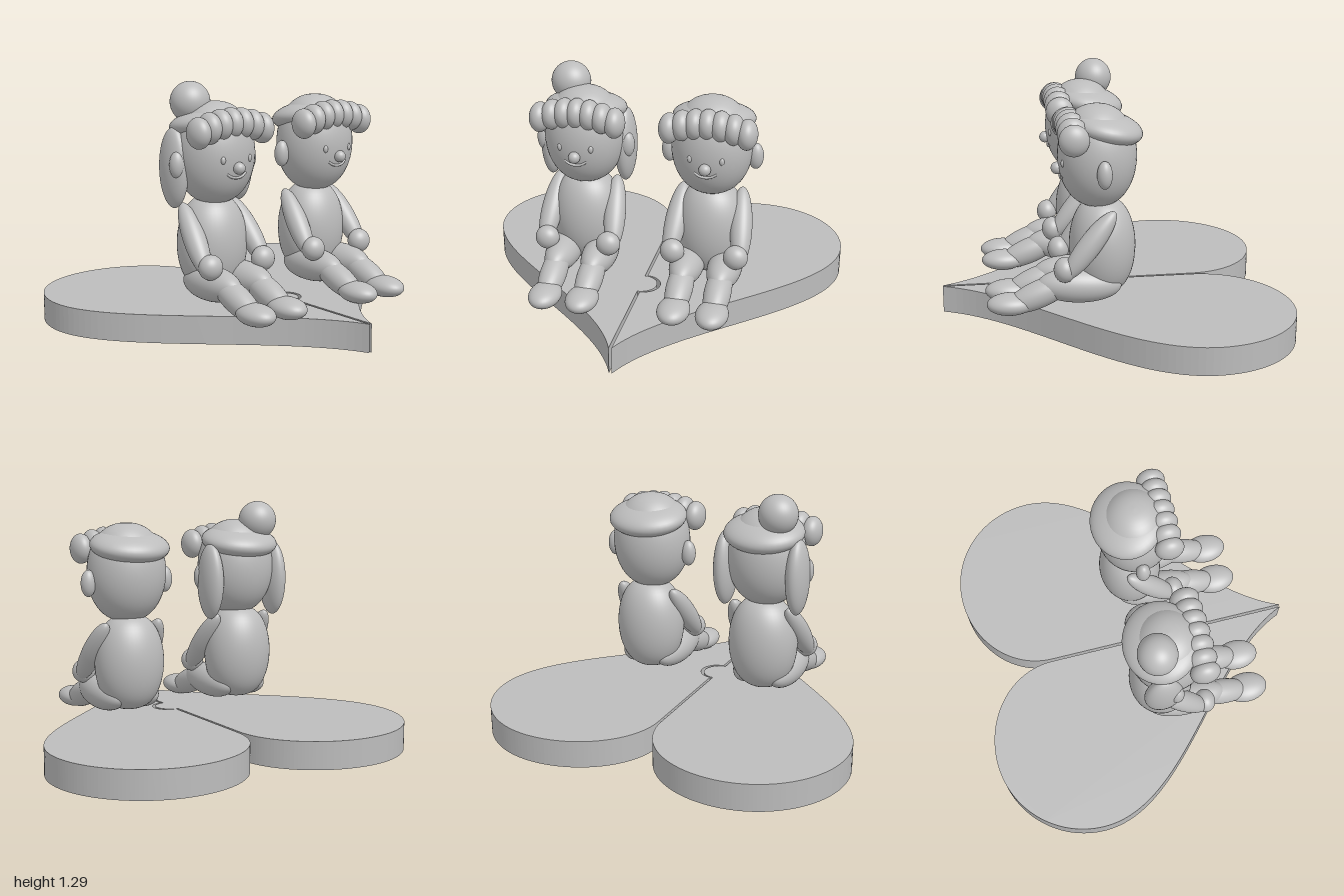
import * as THREE from 'three';

const grey = new THREE.MeshStandardMaterial({ color: 0xbcbcbc });
grey.name = 'plain grey';

const BASE = 0.145;
const ball = new THREE.SphereGeometry(1, 40, 28);

function add(group, name, geometry) {
  const mesh = new THREE.Mesh(geometry, grey);
  mesh.name = name;
  group.add(mesh);
  return mesh;
}

function ellipsoid(group, name, pos, radii) {
  const mesh = add(group, name, ball);
  mesh.position.set(...pos);
  mesh.scale.set(...radii);
  return mesh;
}

// Ellipsoid stretched from one end point to another
function limb(group, name, from, to, radius) {
  const a = new THREE.Vector3(...from);
  const b = new THREE.Vector3(...to);
  const dir = b.clone().sub(a);
  const mid = a.clone().add(b).multiplyScalar(0.5);
  const mesh = ellipsoid(group, name, mid.toArray(), [radius, dir.length() / 2, radius]);
  mesh.quaternion.setFromUnitVectors(new THREE.Vector3(0, 1, 0), dir.normalize());
  return mesh;
}

// Rounded body of revolution; a power below 1 gives fuller ends
function roundBody(group, name, pos, radii, power) {
  const profile = [];
  for (let i = 0; i <= 28; i++) {
    const t = (i / 28 - 0.5) * Math.PI;
    profile.push(new THREE.Vector2(Math.pow(Math.max(0, Math.cos(t)), power), Math.sin(t)));
  }
  const mesh = add(group, name, new THREE.LatheGeometry(profile, 44));
  mesh.position.set(...pos);
  mesh.scale.set(...radii);
  return mesh;
}

// One half of the heart, with a knob or a socket on the straight edge
function heartHalf(side) {
  const s = side;
  const g = 0.007;
  const shape = new THREE.Shape();
  shape.moveTo(s * g, 0.47);
  shape.bezierCurveTo(s * g, 0.71, s * 0.225, 0.9, s * 0.495, 0.9);
  shape.bezierCurveTo(s * 0.775, 0.9, s, 0.676, s, 0.4);
  shape.bezierCurveTo(s, -0.08, s * 0.2, -0.42, s * g, -0.895);
  shape.absarc(s * g, -0.24, s > 0 ? 0.09 : 0.086, -Math.PI / 2, Math.PI / 2, false);
  shape.closePath();
  const geometry = new THREE.ExtrudeGeometry(shape, { depth: BASE, bevelEnabled: false, curveSegments: 40 });
  return geometry.rotateX(-Math.PI / 2);
}

function makeFigure(name, longHair) {
  const fig = new THREE.Group();
  fig.name = name;

  roundBody(fig, 'torso', [0, 0.457, 0.075], [0.188, 0.253, 0.17], 0.75);
  roundBody(fig, 'head', [0, 0.93, 0.1], [0.212, 0.26, 0.2], 0.85);

  // Hair cap, tipped down at the back
  ellipsoid(fig, 'hairCap', [0, 1.07, 0.06], [0.215, 0.082, 0.192]).rotation.x = -0.2;

  // Curled fringe
  for (let i = -3; i <= 3; i++) {
    const u = i / 3;
    ellipsoid(fig, 'fringeCurl', [u * 0.198, 1.088 - 0.036 * u * u, 0.237], [0.054, 0.079, 0.076]);
  }

  // Face
  ellipsoid(fig, 'nose', [0, 0.87, 0.304], [0.031, 0.031, 0.03]);
  const smile = new THREE.CatmullRomCurve3(
    [[-0.058, 0.843, 0.279], [-0.035, 0.827, 0.284], [0, 0.82, 0.286], [0.035, 0.827, 0.284], [0.058, 0.843, 0.279]]
      .map((p) => new THREE.Vector3(...p)));
  add(fig, 'mouth', new THREE.TubeGeometry(smile, 24, 0.007, 8));

  for (const s of [-1, 1]) {
    ellipsoid(fig, 'eye', [s * 0.082, 0.913, 0.28], [0.013, 0.02, 0.012]);
    ellipsoid(fig, 'ear', [s * 0.226, 0.883, 0.092], [0.04, 0.07, 0.038]);
    if (longHair) {
      ellipsoid(fig, 'sideHair', [s * 0.203, 0.86, 0.03], [0.058, 0.205, 0.1]);
    }

    // Arm resting on the thigh
    limb(fig, 'arm', [s * 0.155, 0.675, 0.03], [s * 0.19, 0.345, 0.29], 0.058);
    ellipsoid(fig, 'hand', [s * 0.167, 0.388, 0.285], [0.064, 0.064, 0.056]);

    // Leg stretched forward
    limb(fig, 'thigh', [s * 0.1, 0.27, -0.01], [s * 0.1, 0.29, 0.42], 0.09);
    limb(fig, 'lowerLeg', [s * 0.1, 0.315, 0.23], [s * 0.1, 0.17, 0.58], 0.07);
    ellipsoid(fig, 'foot', [s * 0.099, 0.195, 0.555], [0.084, 0.055, 0.12]);
  }

  if (longHair) ellipsoid(fig, 'hairBun', [-0.092, 1.185, 0.02], [0.104, 0.104, 0.1]);
  return fig;
}

export function createModel() {
  const model = new THREE.Group();
  model.name = 'seatedPairOnHeart';

  // Two interlocking halves of the heart base
  add(model, 'heartHalfRight', heartHalf(-1));
  add(model, 'heartHalfLeft', heartHalf(1));

  // Seated pair
  const girl = makeFigure('girl', true);
  girl.position.x = -0.342;
  const boy = makeFigure('boy', false);
  boy.position.x = 0.338;
  model.add(girl, boy);
  return model;
}
